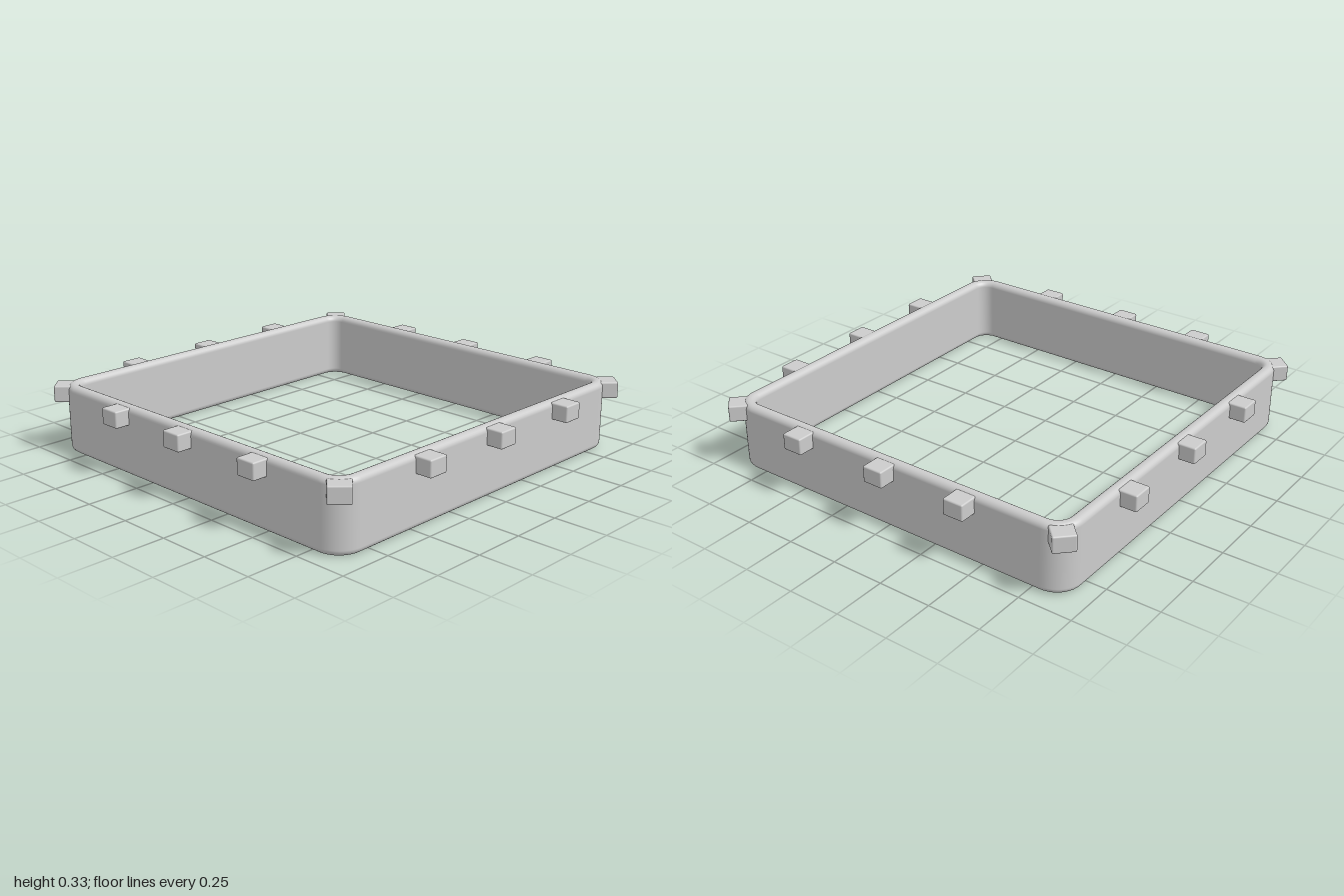
import * as THREE from 'three';
import { RoundedBoxGeometry } from 'three/addons/geometries/RoundedBoxGeometry.js';

const material = new THREE.MeshStandardMaterial({ color: 0xcccccc });
const HALF_X = 0.926, HALF_Z = 0.915, HEIGHT = 0.326, WALL = 0.06;
const CORNER = 0.12, EDGE = 0.028;

// Wall section (rounded rectangle), turned round four corners that are then pulled apart
function frameGeometry() {
  const profile = [];
  const corners = [
    [CORNER - EDGE, EDGE, -90], [CORNER - EDGE, HEIGHT - EDGE, 0],
    [CORNER - WALL + EDGE, HEIGHT - EDGE, 90], [CORNER - WALL + EDGE, EDGE, 180],
  ];
  for (const [x, y, start] of corners) {
    for (let k = 0; k <= 6; k++) {
      const a = THREE.MathUtils.degToRad(start + k * 15);
      profile.push(new THREE.Vector2(x + EDGE * Math.cos(a), y + EDGE * Math.sin(a)));
    }
  }
  profile.push(profile[0].clone());

  const steps = 10, columns = 4 * (steps + 1);
  const geometry = new THREE.LatheGeometry(profile, columns);
  const pos = geometry.attributes.position, normal = geometry.attributes.normal;
  for (let i = 0; i <= columns; i++) {
    const column = i % columns;
    const quadrant = Math.floor(column / (steps + 1));
    const angle = (quadrant + (column % (steps + 1)) / steps) * Math.PI / 2;
    const sx = quadrant < 2 ? 1 : -1;
    const sz = quadrant === 0 || quadrant === 3 ? 1 : -1;
    profile.forEach((p, j) => {
      const n = i * profile.length + j;
      pos.setXYZ(n,
        p.x * Math.sin(angle) + sx * (HALF_X - CORNER), p.y,
        p.x * Math.cos(angle) + sz * (HALF_Z - CORNER));
      // Each section arc has seven points, 15 degrees apart
      const arc = Math.floor(j / 7) % 4;
      const a = THREE.MathUtils.degToRad(j === 28 ? -90 : -90 + arc * 90 + (j % 7) * 15);
      normal.setXYZ(n, Math.cos(a) * Math.sin(angle), Math.sin(a), Math.cos(a) * Math.cos(angle));
    });
  }
  return geometry;
}

export function createModel() {
  const model = new THREE.Group();
  model.name = 'squareFrame';

  const frame = new THREE.Mesh(frameGeometry(), material);
  frame.name = 'frameWall';
  frame.position.x = -0.004;
  model.add(frame);

  const tabs = new THREE.Group();
  tabs.name = 'rimTabs';
  model.add(tabs);
  const addTab = (name, x, z, w, d, turn = 0) => {
    const tab = new THREE.Mesh(new RoundedBoxGeometry(w, 0.078, d, 2, 0.007), material);
    tab.name = name;
    tab.position.set(x, 0.281, z);
    tab.rotation.y = turn;
    tabs.add(tab);
  };

  // Three tabs along each side
  for (const s of [-1, 1]) {
    for (const x of [-0.445, 0.013, 0.483]) addTab(s > 0 ? 'frontTab' : 'backTab', x, s * 0.943, 0.1, 0.1);
    for (const z of [-0.425, 0, 0.463]) addTab(s > 0 ? 'leftTab' : 'rightTab', s * 0.95, z, 0.1, 0.1);
    // Diagonal tabs at the corners
    for (const t of [-1, 1]) addTab('cornerTab', s * 0.905, t * 0.89, 0.1, 0.09, s * t * Math.PI / 4);
  }
  return model;
}
